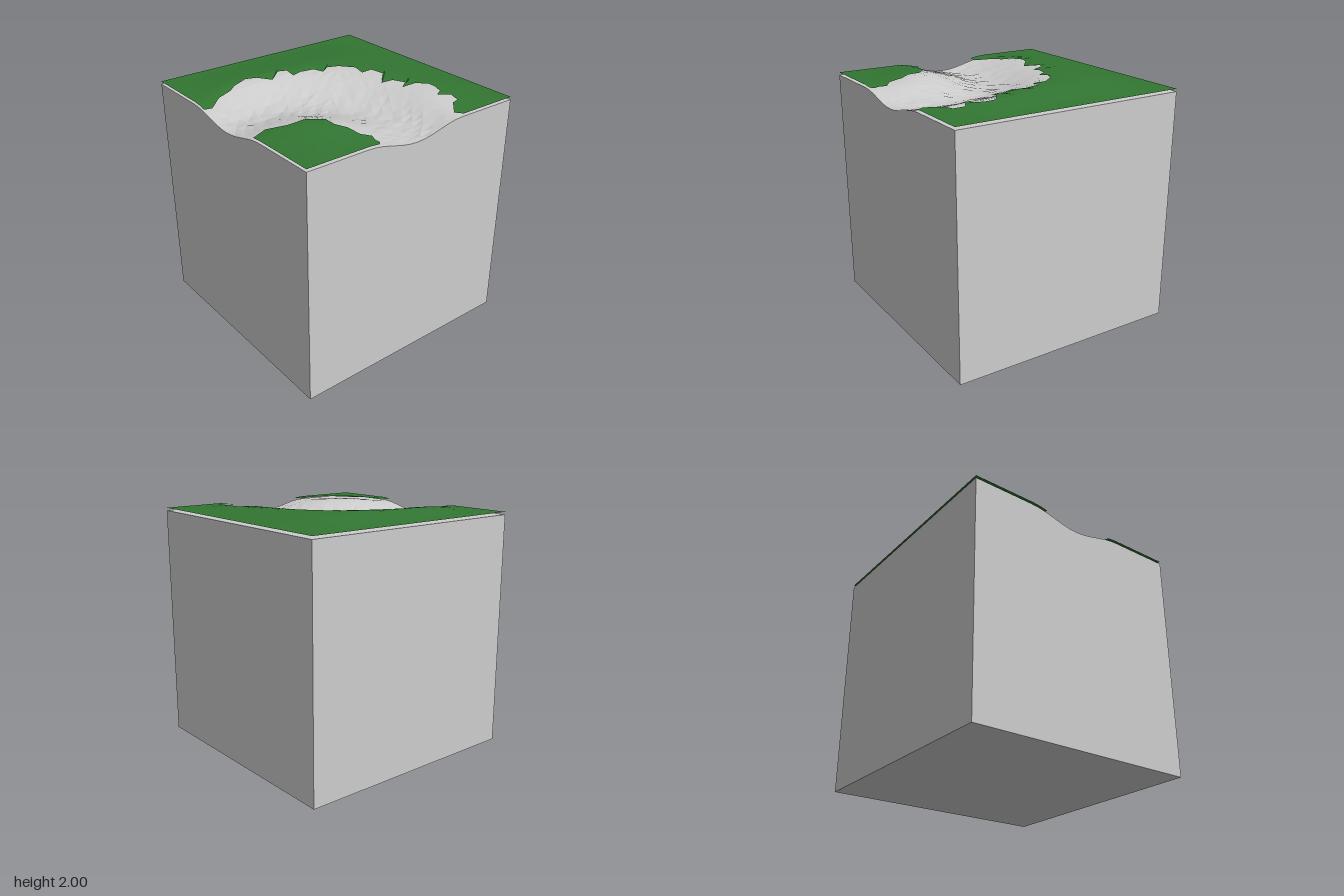
import * as THREE from 'three';

const HALF = 0.98, TOP = 1.935, LIFT = 0.022;

// Jagged turf edges as [x, z], running from the front edge round to the left edge
const OUTER_EDGE = [
  [0.46, 0.98], [0.42, 0.92], [0.53, 0.8], [0.6, 0.78], [0.62, 0.69], [0.52, 0.64], [0.59, 0.6],
  [0.62, 0.52], [0.62, 0.44], [0.53, 0.38], [0.43, 0.35], [0.49, 0.31], [0.45, 0.21], [0.37, 0.17],
  [0.47, 0.07], [0.45, -0.05], [0.36, -0.06], [0.38, -0.17], [0.29, -0.28], [0.2, -0.32],
  [0.13, -0.28], [0.09, -0.36], [-0.02, -0.39], [-0.1, -0.38], [-0.1, -0.47], [-0.17, -0.5],
  [-0.28, -0.415], [-0.38, -0.5], [-0.47, -0.525], [-0.6, -0.48], [-0.66, -0.44], [-0.79, -0.4],
  [-0.91, -0.3], [-0.98, -0.3],
];
const INNER_EDGE = [
  [-0.36, 0.98], [-0.33, 0.95], [-0.34, 0.92], [-0.32, 0.85], [-0.38, 0.8], [-0.4, 0.68],
  [-0.45, 0.6], [-0.45, 0.5], [-0.56, 0.4], [-0.7, 0.385], [-0.84, 0.305], [-0.98, 0.365],
];

// Polar coordinates about the front left-hand corner of the block
const toPolar = ([x, z]) => {
  const u = x + HALF, v = HALF - z;
  return { a: Math.atan2(v, u), r: Math.hypot(u, v) };
};
const reach = (a) => 2 * HALF / Math.max(Math.cos(a), Math.sin(a));

// Channel strength: 1 on the centre line, 0 at the banks
function channel(a, r) {
  const bend = Math.sin(2 * a);
  const inner = 0.53 + 0.1 * bend, outer = 1.43 + 0.38 * bend;
  const s = THREE.MathUtils.clamp((2 * (r - inner)) / (outer - inner) - 1, -1, 1);
  return (1 + Math.cos(Math.PI * s)) / 2;
}

// Ground point: banks swell inside the block, the channel is scooped out of them
function ground(a, r, lift = 0) {
  const x = -HALF + r * Math.cos(a), z = HALF - r * Math.sin(a);
  const inland = (d) => THREE.MathUtils.smoothstep(HALF - Math.abs(d), 0, 0.55);
  const swell = inland(x) * inland(z);
  const c = channel(a, r);
  return new THREE.Vector3(x, TOP + 0.045 * swell * (1 - c) - 0.075 * c + lift, z);
}

// Surface through rows of points
function surface(rows, material, name) {
  const pos = [];
  const tri = (...pts) => pts.forEach((p) => pos.push(p.x, p.y, p.z));
  for (let i = 0; i < rows.length - 1; i++) {
    for (let j = 0; j < rows[i].length - 1; j++) {
      const a = rows[i][j], b = rows[i][j + 1], c = rows[i + 1][j], d = rows[i + 1][j + 1];
      if ((i + j) % 2) { tri(a, b, d); tri(a, d, c); } else { tri(a, b, c); tri(b, d, c); }
    }
  }
  const geo = new THREE.BufferGeometry();
  geo.setAttribute('position', new THREE.Float32BufferAttribute(pos, 3));
  geo.computeVertexNormals();
  const mesh = new THREE.Mesh(geo, material);
  mesh.name = name;
  return mesh;
}

const steps = (n, fn) => Array.from({ length: n + 1 }, (_, i) => fn(i / n));

export function createModel() {
  const stone = new THREE.MeshStandardMaterial({ color: 0xcccccc, flatShading: true });
  stone.name = 'pale stone';
  const grass = new THREE.MeshStandardMaterial({ color: 0x327632, flatShading: true, side: THREE.DoubleSide });
  grass.name = 'grass green';
  const model = new THREE.Group();
  model.name = 'terrainBlock';

  let seed = 7;
  const random = () => (seed = (seed * 16807) % 2147483647) / 2147483647;

  // Stone top with a slightly rough channel bed
  const N = 36, M = 30;
  const rows = steps(N, (t) => {
    const a = t * Math.PI / 2;
    return steps(M, (q) => {
      const r = q * reach(a);
      const p = ground(a, r);
      if (t > 0 && t < 1) p.y += (random() - 0.5) * 0.012 * channel(a, r);
      return p;
    });
  });
  model.add(surface(rows, stone, 'stoneTop'));

  // Four walls, following the rim of the stone top
  const rim = [...rows[0], ...rows.slice(1).map((row) => row[M]), ...rows[N].slice(0, M).reverse()];
  const foot = rim.map((p) => new THREE.Vector3(p.x, 0, p.z));
  model.add(surface([foot, rim], stone, 'walls'));

  const base = new THREE.Mesh(new THREE.PlaneGeometry(2 * HALF, 2 * HALF), stone);
  base.rotation.x = Math.PI / 2;
  base.name = 'base';
  model.add(base);

  // Main turf sheet, from the jagged bank out to the block's far edges
  const outer = OUTER_EDGE.map(toPolar);
  const k = outer.findIndex((p) => p.a > Math.PI / 4);
  const p0 = outer[k - 1], p1 = outer[k];
  const f = (Math.PI / 4 - p0.a) / (p1.a - p0.a);
  outer.splice(k, 0, { a: Math.PI / 4, r: p0.r + f * (p1.r - p0.r) });
  model.add(surface(
    outer.map(({ a, r }) => steps(10, (t) => ground(a, r + t * (reach(a) - r), LIFT))),
    grass, 'mainTurf'));

  // Small turf patch in the corner inside the bend
  model.add(surface(
    INNER_EDGE.map(toPolar).map(({ a, r }) => steps(8, (t) => ground(a, t * r, LIFT))),
    grass, 'cornerTurf'));

  return model;
}
